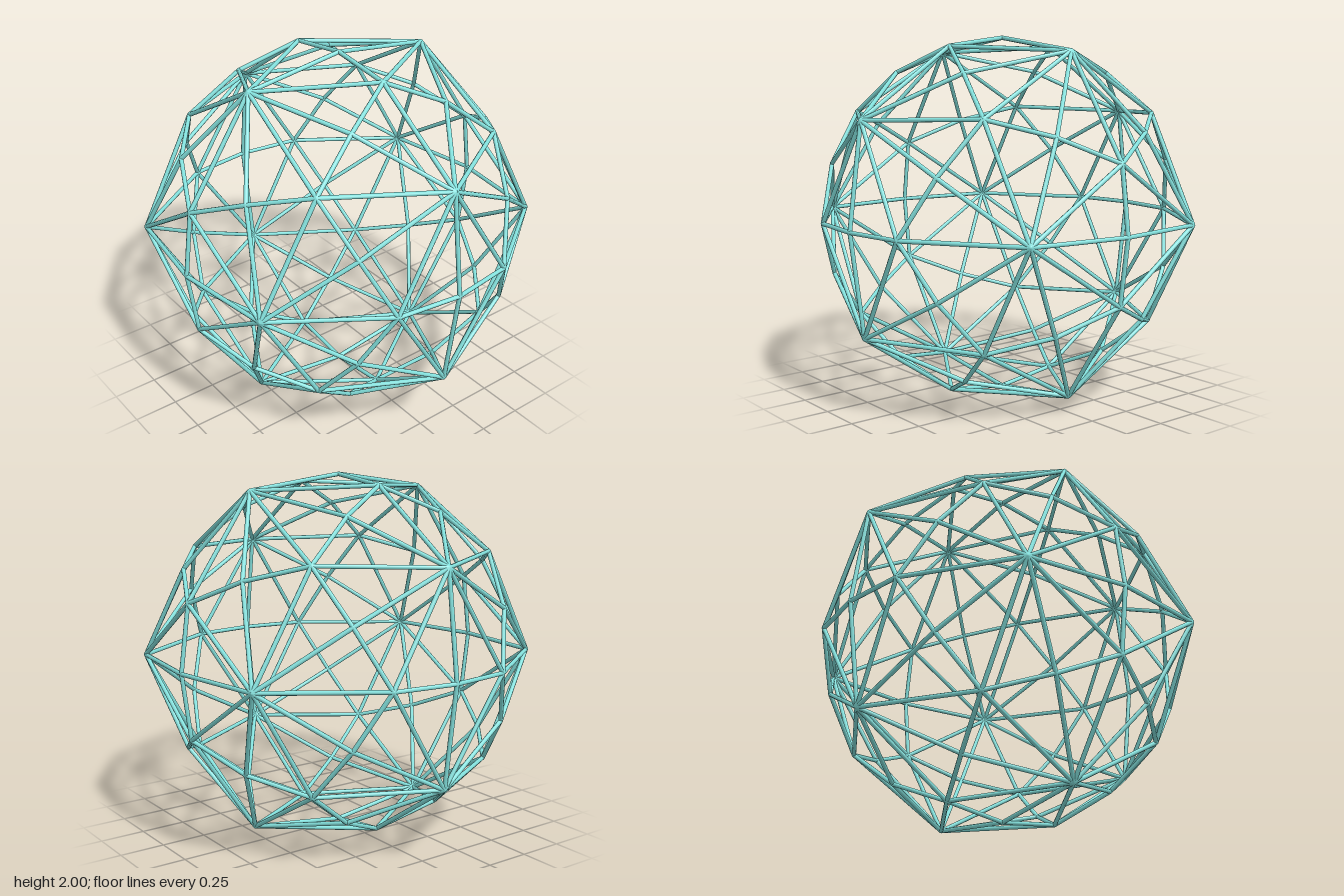
import * as THREE from 'three';

const PHI = (1 + Math.sqrt(5)) / 2;
const STRUT_RADIUS = 0.012;

// All sign changes and cyclic permutations of a direction, scaled to a radius
function orbit([a, b, c], radius) {
  const points = new Map();
  for (const sx of [1, -1]) for (const sy of [1, -1]) for (const sz of [1, -1]) {
    const x = a * sx, y = b * sy, z = c * sz;
    for (const p of [[x, y, z], [z, x, y], [y, z, x]]) {
      const v = new THREE.Vector3(...p).setLength(radius);
      points.set(v.toArray().map(n => Math.round(n * 1000) + 0).join(), v);
    }
  }
  return [...points.values()];
}

export function createModel() {
  const model = new THREE.Group();
  model.name = 'wireframeSphere';
  const material = new THREE.MeshStandardMaterial({ color: 0x84e2de });

  // Three kinds of corner: ten-way, six-way and four-way
  const tenWay = orbit([1, 0, PHI], 1.0725);
  const sixWay = [...orbit([1, 1, 1], 1.006), ...orbit([0, 1, PHI * PHI], 1.006)];
  const fourWay = [...orbit([0, 0, 1], 0.988), ...orbit([1, PHI, PHI * PHI], 0.988)];

  const unitStrut = new THREE.CylinderGeometry(STRUT_RADIUS, STRUT_RADIUS, 1, 8);
  const up = new THREE.Vector3(0, 1, 0);

  // Struts join each corner to its nearest neighbours of another kind
  function addStruts(name, from, to) {
    const group = new THREE.Group();
    group.name = name;
    for (const a of from) for (const b of to) {
      if (a.angleTo(b) > 0.72) continue;
      const strut = new THREE.Mesh(unitStrut, material);
      strut.name = 'strut';
      const along = b.clone().sub(a);
      strut.scale.y = along.length();
      strut.quaternion.setFromUnitVectors(up, along.normalize());
      strut.position.addVectors(a, b).multiplyScalar(0.5);
      group.add(strut);
    }
    model.add(group);
  }
  addStruts('longStruts', tenWay, sixWay);
  addStruts('mediumStruts', tenWay, fourWay);
  addStruts('shortStruts', sixWay, fourWay);

  // Small balls close the joints
  const ball = new THREE.SphereGeometry(STRUT_RADIUS, 8, 6);
  const joints = new THREE.Group();
  joints.name = 'joints';
  for (const p of [...tenWay, ...sixWay, ...fourWay]) {
    const joint = new THREE.Mesh(ball, material);
    joint.name = 'joint';
    joint.position.copy(p);
    joints.add(joint);
  }
  model.add(joints);

  // Rest the sphere on the ground
  for (const part of model.children) part.position.y = 1;
  return model;
}
